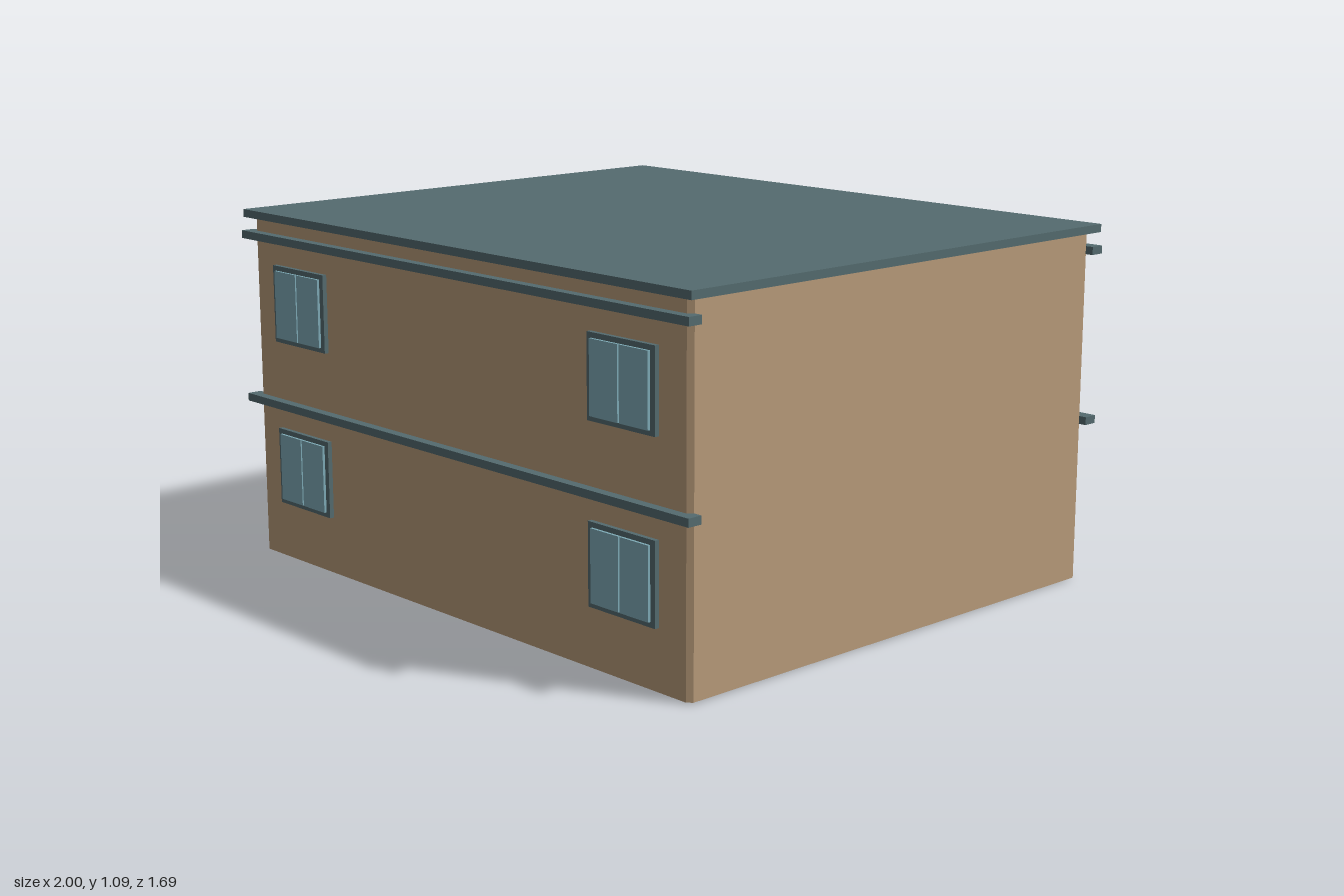
import * as THREE from 'three';

export function createModel() {
  const model = new THREE.Group();
  model.name = 'house';

  const material = (name, color) => {
    const m = new THREE.MeshStandardMaterial({ color });
    m.name = name;
    return m;
  };
  const wallTan = material('wall tan', 0xb89b7a);
  const trimTeal = material('trim slate teal', 0x546b6f);
  const glassBlue = material('glass blue', 0x7eabb7);
  const floorGrey = material('floor grey', 0x8a8378);

  const add = (parent, name, geometry, mat, x = 0, y = 0, z = 0) => {
    const mesh = new THREE.Mesh(geometry, mat);
    mesh.name = name;
    mesh.position.set(x, y, z);
    parent.add(mesh);
    return mesh;
  };
  // Box given by its limits on each axis
  const box = (parent, name, mat, [x0, x1], [y0, y1], [z0, z1]) =>
    add(parent, name, new THREE.BoxGeometry(x1 - x0, y1 - y0, z1 - z0), mat,
      (x0 + x1) / 2, (y0 + y1) / 2, (z0 + z1) / 2);

  const W = 0.975, D = 0.815, CUT = 0.014;
  const doorHalf = 0.135, doorTop = 0.462, recess = 0.025;

  // Wall plan with clipped corners; plan y points to the back (-z)
  const plan = (notch) => {
    const pts = [
      [-W + CUT, -D], [W - CUT, -D], [W, -D + CUT], [W, D - CUT], [W - CUT, D],
      ...(notch ? [[doorHalf, D], [doorHalf, D - recess], [-doorHalf, D - recess], [-doorHalf, D]] : []),
      [-W + CUT, D], [-W, D - CUT], [-W, -D + CUT],
    ];
    return new THREE.Shape(pts.map(([x, y]) => new THREE.Vector2(x, y)));
  };
  const wallBlock = (name, y0, y1, notch) => {
    const g = new THREE.ExtrudeGeometry(plan(notch), { depth: y1 - y0, bevelEnabled: false });
    g.rotateX(-Math.PI / 2);
    add(model, name, g, wallTan, 0, y0, 0);
  };
  wallBlock('lowerWalls', 0.004, doorTop, true);
  wallBlock('upperWalls', doorTop, 1.068, false);

  // Floor slab under the walls, slightly inset
  box(model, 'floor', floorGrey, [-W + 0.025, W - 0.025], [0, 0.008], [-D + 0.025, D - 0.025]);

  // Flat roof slab
  box(model, 'roof', trimTeal, [-1, 1], [1.066, 1.09], [-0.837, 0.837]);

  // Door in its recess, and the flush panel above it
  box(model, 'door', trimTeal, [-0.125, 0.13], [0.008, doorTop - 0.004], [-D + recess - 0.009, -D + recess + 0.005]);
  box(model, 'panelAboveDoor', wallTan, [-doorHalf, doorHalf], [doorTop, 1.066], [-D - 0.001, -D + 0.004]);

  // Window: frame with an opening and two panes, built facing +z from the wall face
  const frameShape = new THREE.Shape();
  const rect = (path, w, h) => path.moveTo(-w / 2, -h / 2).lineTo(w / 2, -h / 2)
    .lineTo(w / 2, h / 2).lineTo(-w / 2, h / 2).closePath();
  rect(frameShape, 0.262, 0.238);
  const opening = new THREE.Path();
  rect(opening, 0.226, 0.208);
  frameShape.holes.push(opening);
  const frameGeometry = new THREE.ExtrudeGeometry(frameShape, { depth: 0.014, bevelEnabled: false });
  const paneGeometry = new THREE.BoxGeometry(0.11, 0.208, 0.022);

  // Front and back facades share bands and windows
  for (const [side, turn] of [['front', 0], ['back', Math.PI]]) {
    const facade = new THREE.Group();
    facade.name = side + 'Facade';
    facade.rotation.y = turn;
    model.add(facade);

    for (const y of [0.486, 1.001]) {
      box(facade, 'band', trimTeal, [-1, 1], [y, y + 0.024], [0.8, 0.845]);
    }
    for (const x of [-0.728, 0.728]) {
      for (const y of [0.3, 0.812]) {
        const win = new THREE.Group();
        win.name = 'window';
        win.position.set(x, y, D);
        add(win, 'windowFrame', frameGeometry, trimTeal);
        for (const s of [-1, 1]) {
          add(win, 'windowPane', paneGeometry, glassBlue, s * 0.058, 0, 0.011);
        }
        facade.add(win);
      }
    }
  }
  return model;
}
